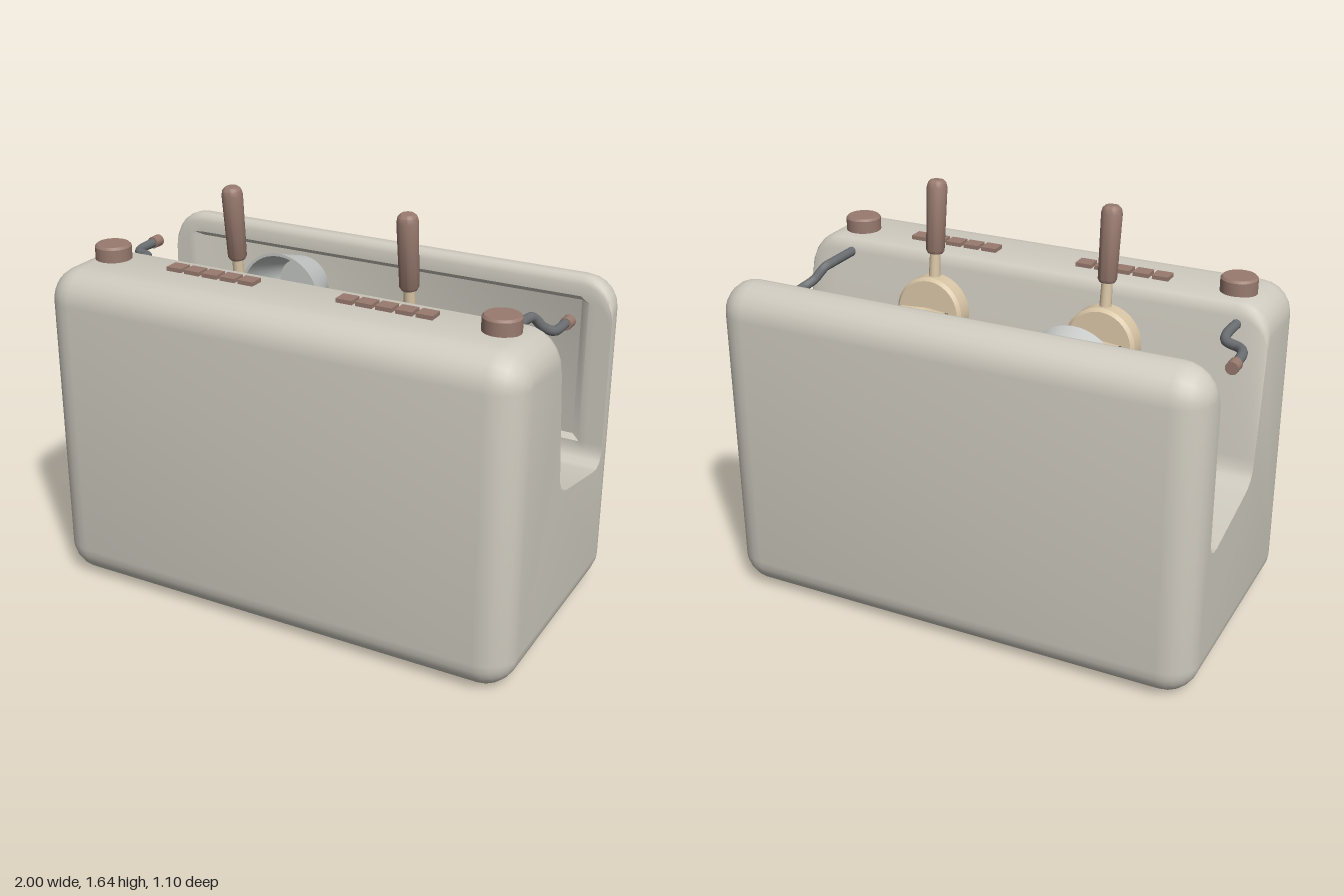
import * as THREE from 'three';
import { toCreasedNormals } from 'three/addons/utils/BufferGeometryUtils.js';
import { RoundedBoxGeometry } from 'three/addons/geometries/RoundedBoxGeometry.js';

const flat = (name, color, side = THREE.FrontSide) => {
  const m = new THREE.MeshStandardMaterial({ color, side });
  m.name = name;
  return m;
};
const V = (x, y, z) => new THREE.Vector3(x, y, z);

export function createModel() {
  const shell = flat('warm grey shell', 0xcfcbc0);
  const brown = flat('brown trim', 0x997b6f);
  const cream = flat('cream metal', 0xd8c5a5, THREE.DoubleSide);
  const steel = flat('dark steel', 0x6c6f72);
  const china = flat('pale grey cup', 0xc6c9c7);

  const model = new THREE.Group();
  model.name = 'espressoMachine';
  const add = (name, geo, mat, parent = model) => {
    const mesh = new THREE.Mesh(geo, mat);
    mesh.name = name;
    parent.add(mesh);
    return mesh;
  };
  // lathe with creased edges, axis along y
  const lathe = (pts, seg = 32) => toCreasedNormals(
    new THREE.LatheGeometry(pts.map(p => new THREE.Vector2(...p)), seg), 0.6);
  const tube = (pts, r, seg = 32) => new THREE.TubeGeometry(
    new THREE.CatmullRomCurve3(pts, false, 'centripetal'), seg, r, 12);

  add('body', bodyGeometry(), shell);

  // knobs and button rows on the top
  for (const x of [-0.83, 0.815]) {
    add('knob', lathe([[0, 0], [0.072, 0], [0.072, 0.058], [0.064, 0.067], [0, 0.067]]), brown)
      .position.set(x, 1.318, 0.285);
  }
  for (const start of [-0.525, 0.213]) {
    for (let i = 0; i < 5; i++) {
      add('button', new THREE.BoxGeometry(0.066, 0.03, 0.062), brown)
        .position.set(start + i * 0.08, 1.326, 0.285);
    }
  }

  // filter holders leaning against the sloped wall
  for (const x of [-0.368, 0.374]) {
    const holder = new THREE.Group();
    holder.name = 'filterHolder';
    holder.position.set(x, 1.105, 0.077);
    holder.rotation.x = 0.1;
    model.add(holder);
    const disc = lathe([[0, -0.045], [0.132, -0.045], [0.145, -0.032], [0.148, 0.03],
      [0.138, 0.045], [0, 0.045]], 40);
    add('filterBasket', disc.rotateX(Math.PI / 2), cream, holder);
    add('gasket', new THREE.CylinderGeometry(0.13, 0.13, 0.03, 32).rotateX(Math.PI / 2), steel, holder)
      .position.z = 0.055;
    add('stem', new THREE.CylinderGeometry(0.021, 0.024, 0.14, 16), cream, holder)
      .position.set(0, 0.19, 0.005);
    add('grip', lathe([[0, 0], [0.03, 0], [0.037, 0.012], [0.041, 0.265], [0.036, 0.285],
      [0.025, 0.295], [0, 0.296]], 24), brown, holder).position.set(0, 0.24, 0.005);
    // double spout
    add('spout', tube([V(-0.1, 0, -0.083), V(-0.05, 0, -0.072), V(0, 0, -0.06),
      V(0.05, 0, -0.072), V(0.1, 0, -0.083)], 0.027, 16), cream, holder);
  }

  // steam wands with end nozzles
  const wand = (pts, tip) => {
    add('steamWand', tube(pts, 0.019, 48), steel);
    add('nozzle', new THREE.CylinderGeometry(0.025, 0.025, 0.048, 16).rotateX(Math.PI / 2), brown)
      .position.copy(tip);
  };
  wand([V(0.797, 1.268, 0.16), V(0.797, 1.268, 0.0), V(0.805, 1.262, -0.04), V(0.835, 1.215, -0.08),
    V(0.86, 1.193, -0.12), V(0.865, 1.188, -0.23)], V(0.867, 1.186, -0.243));
  wand([V(-0.87, 1.245, 0.17), V(-0.87, 1.245, 0.03), V(-0.885, 1.24, -0.01), V(-0.945, 1.237, -0.04),
    V(-0.968, 1.236, -0.08), V(-0.975, 1.235, -0.18)], V(-0.975, 1.235, -0.198));

  // cup lying on its side against the back wall
  const cup = new THREE.Group();
  cup.name = 'cup';
  cup.position.set(-0.365, 1.09, -0.405);
  cup.rotation.x = Math.PI / 2;
  model.add(cup);
  add('cupBowl', lathe([[0, 0], [0.118, 0], [0.185, 0.205], [0.173, 0.205], [0.108, 0.015],
    [0, 0.015]], 40), china, cup);
  add('cupHandle', tube([V(-0.15, 0.16, 0), V(-0.195, 0.157, 0), V(-0.222, 0.12, 0),
    V(-0.215, 0.07, 0), V(-0.18, 0.04, 0), V(-0.12, 0.035, 0)], 0.014), china, cup);

  return model;
}

// Rounded box lofted along x, with an open working bay cut through it.
function bodyGeometry() {
  const R = 0.13, coreX = 0.865, coreZ = 0.42, lowY = 0.13, highY = 1.195;
  // side profile as [z, y]; q is the corner radius, k the depth of the back panel
  const profile = (q, k) => {
    const pts = [], top = highY + q;
    const arc = (z, y, a0) => {
      for (let i = 0; i <= 6; i++) {
        const a = a0 + (i / 6) * Math.PI / 2;
        pts.push([z + q * Math.cos(a), y + q * Math.sin(a)]);
      }
    };
    arc(-coreZ, lowY, Math.PI);
    arc(coreZ, lowY, Math.PI * 1.5);
    arc(coreZ, highY, 0);
    pts.push([0.195, top], [0.175, top - 0.008], [0.16, top - 0.025], [0.152, top - 0.055],
      [0.095, 0.73], [0.088, 0.69], [0.07, 0.658], [0.04, 0.637], [0, 0.625],
      [-0.31, 0.562], [-0.345, 0.562], [-0.372, 0.578], [-0.385, 0.61], [-0.385, 0.64],
      [-0.385 - k, 0.64 + k], [-0.385 - k, top - 0.1], [-0.385, top - 0.08],
      [-0.385, top - 0.035], [-0.392, top - 0.015], [-0.405, top - 0.003]);
    arc(-coreZ, highY, Math.PI / 2);
    return pts;
  };

  const rings = [];
  for (let i = 0; i <= 6; i++) {
    const t = (i / 6) * Math.PI / 2;
    const pts = profile(Math.max(R * Math.cos(t), 0.004), i === 0 ? 0.02 : 0);
    const x = coreX + R * Math.sin(t);
    rings.push({ x, pts });
    rings.unshift({ x: -x, pts });
  }

  const n = rings[0].pts.length, pos = [], index = [];
  for (const { x, pts } of rings) for (const [z, y] of pts) pos.push(x, y, z);
  for (let i = 0; i < rings.length - 1; i++) {
    for (let j = 0; j < n; j++) {
      const a = i * n + j, b = i * n + (j + 1) % n;
      index.push(a, a + n, b, b, a + n, b + n);
    }
  }
  // flat ends
  const last = (rings.length - 1) * n;
  const outline = rings[0].pts.map(p => new THREE.Vector2(...p));
  for (const [a, b, c] of THREE.ShapeUtils.triangulateShape(outline, [])) {
    index.push(a, b, c, last + a, last + c, last + b);
  }
  const geo = new THREE.BufferGeometry();
  geo.setAttribute('position', new THREE.Float32BufferAttribute(pos, 3));
  geo.setIndex(index);
  return toCreasedNormals(geo, 0.7);
}
